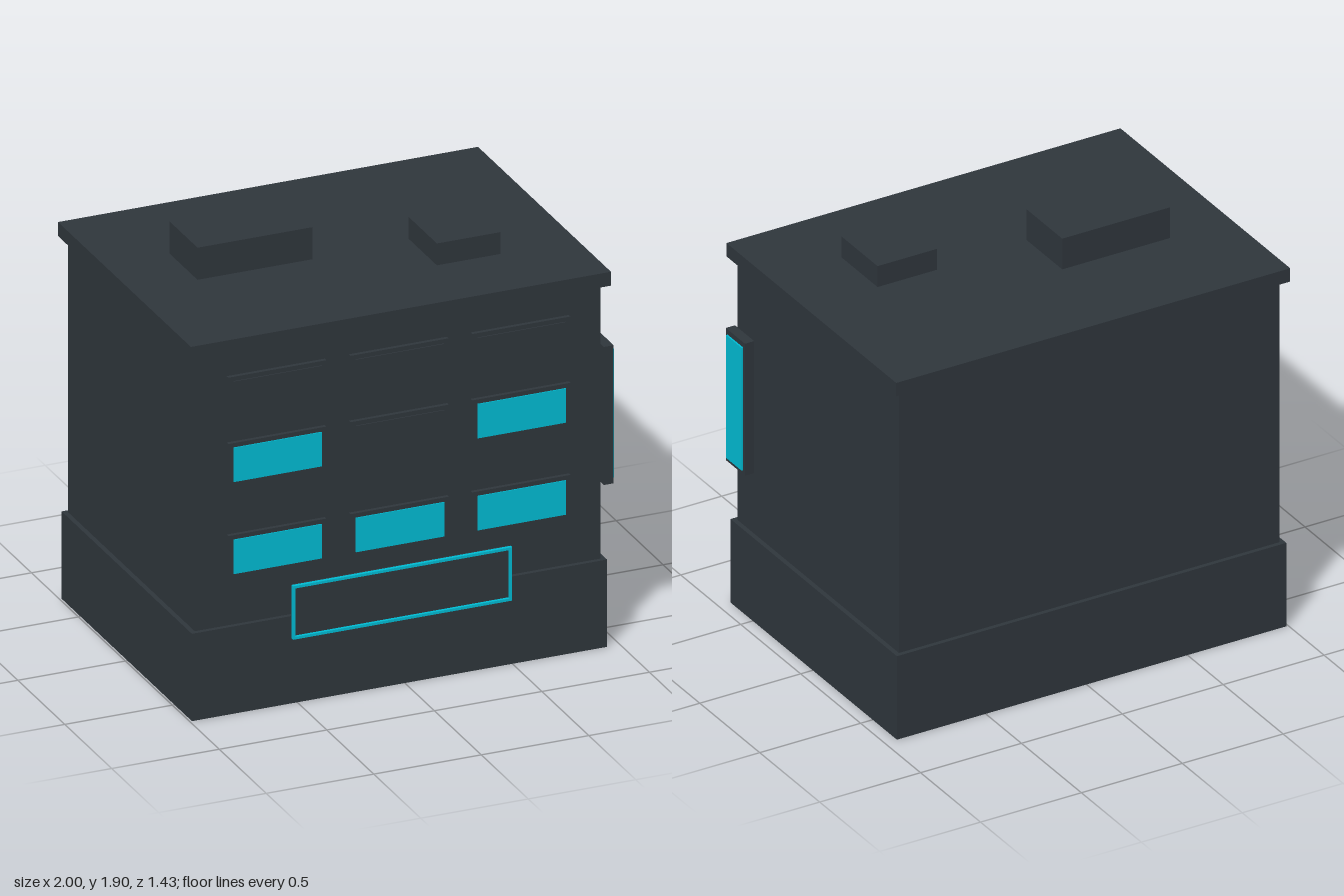
import * as THREE from 'three';

export function createModel() {
  const building = new THREE.Group();
  building.name = 'building';
  const slate = new THREE.MeshStandardMaterial({ color: 0x2f363c });
  slate.name = 'dark slate';
  const cyan = new THREE.MeshStandardMaterial({ color: 0x00bcd4 });
  cyan.name = 'glowing cyan';

  // Box given by its lower and upper limits on each axis
  function block(name, material, [x0, x1], [y0, y1], [z0, z1], parent = building) {
    const mesh = new THREE.Mesh(new THREE.BoxGeometry(x1 - x0, y1 - y0, z1 - z0), material);
    mesh.position.set((x0 + x1) / 2, (y0 + y1) / 2, (z0 + z1) / 2);
    mesh.name = name;
    parent.add(mesh);
    return mesh;
  }

  // Main masses
  block('groundFloor', slate, [-0.99, 0.94], [0, 0.408], [-0.702, 0.686]);
  block('upperFloors', slate, [-0.968, 0.918], [0.408, 1.69], [-0.682, 0.666]);
  block('roofSlab', slate, [-1, 0.953], [1.69, 1.755], [-0.718, 0.698]);

  // Rooftop units
  block('largeRoofUnit', slate, [-0.695, -0.16], [1.755, 1.905], [-0.23, 0.07]);
  block('smallRoofUnit', slate, [0.3, 0.595], [1.755, 1.857], [0.04, 0.34]);

  // Windows: three rows of three, some lit
  const columns = [-0.592, -0.023, 0.543];
  const rows = [
    { y: 0.733, lit: [true, true, true] },
    { y: 1.163, lit: [true, false, true] },
    { y: 1.473, lit: [false, false, false] },
  ];
  for (const { y, lit } of rows) {
    columns.forEach((x, i) => {
      const windowGroup = new THREE.Group();
      windowGroup.name = lit[i] ? 'litWindow' : 'darkWindow';
      building.add(windowGroup);
      block('windowFrame', slate, [x - 0.228, x + 0.228], [y - 0.1, y + 0.1], [0.664, 0.684], windowGroup);
      block('windowPane', lit[i] ? cyan : slate, [x - 0.205, x + 0.205], [y - 0.08, y + 0.08], [0.684, 0.689], windowGroup);
    });
  }

  // Shop sign with a bright outline
  const shopSign = new THREE.Group();
  shopSign.name = 'shopSign';
  building.add(shopSign);
  const [sx0, sx1, sy0, sy1, rim] = [-0.533, 0.486, 0.31, 0.56, 0.012];
  block('signBoard', slate, [sx0 + 0.005, sx1 - 0.005], [sy0 + 0.005, sy1 - 0.005], [0.684, 0.702], shopSign);
  for (const y of [sy0, sy1 - rim]) {
    block('signRimHorizontal', cyan, [sx0, sx1], [y, y + rim], [0.7, 0.716], shopSign);
  }
  for (const x of [sx0, sx1 - rim]) {
    block('signRimVertical', cyan, [x, x + rim], [sy0 + rim, sy1 - rim], [0.7, 0.716], shopSign);
  }

  // Upright sign beside the side wall
  const sideSign = new THREE.Group();
  sideSign.name = 'sideSign';
  building.add(sideSign);
  block('sideSignBox', slate, [0.946, 0.992], [0.735, 1.38], [0.478, 0.638], sideSign);
  block('sideSignPanel', cyan, [0.992, 1], [0.755, 1.355], [0.493, 0.623], sideSign);

  return building;
}
